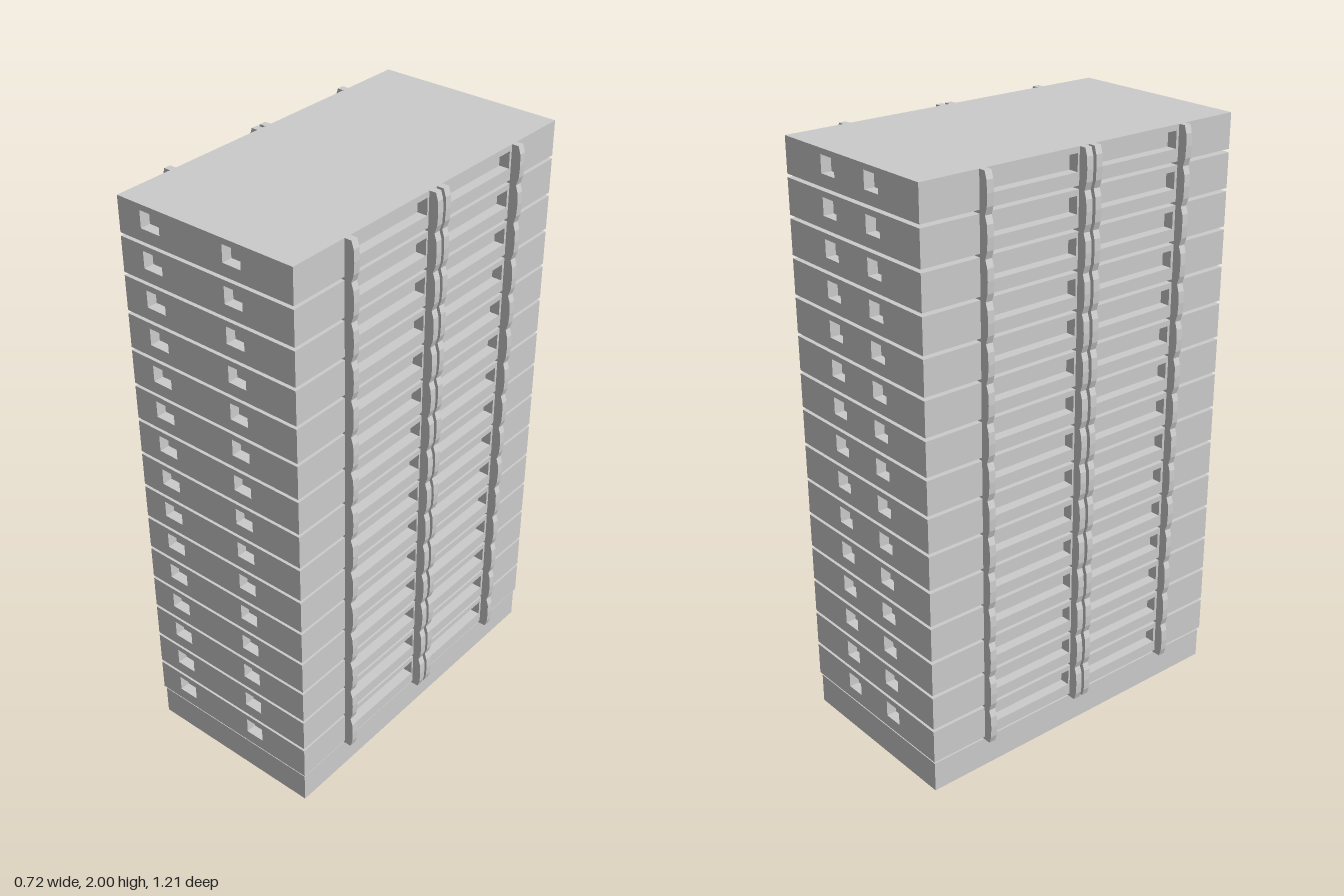
import * as THREE from 'three';

const FLOORS = 15;
const BASE_H = 0.105;                  // height of the plinth
const PITCH = (2 - BASE_H) / FLOORS;   // storey to storey
const GAP = 0.011;                     // open slit under every storey
const W = 0.65, D = 1.21;              // tower footprint
const RECESS = 0.035;                  // window depth
const WIN_Y = [PITCH - 0.075, PITCH - 0.019];

const material = new THREE.MeshStandardMaterial({ color: 0xcccccc, flatShading: true });

function addMesh(parent, name, geometry) {
  const mesh = new THREE.Mesh(geometry, material);
  mesh.name = name;
  parent.add(mesh);
  return mesh;
}

function rect(Type, x0, x1, y0, y1) {
  const p = new Type();
  p.moveTo(x0, y0);
  p.lineTo(x1, y0);
  p.lineTo(x1, y1);
  p.lineTo(x0, y1);
  p.closePath();
  return p;
}

// Wall slab with window openings; its outer face ends at z = 0
function wallPanel(width, windows) {
  const shape = rect(THREE.Shape, -width / 2, width / 2, GAP, PITCH);
  for (const [a, b] of windows) shape.holes.push(rect(THREE.Path, a, b, ...WIN_Y));
  return new THREE.ExtrudeGeometry(shape, { depth: RECESS, bevelEnabled: false })
    .translate(0, 0, -RECESS);
}

// Thin frame across the tower with slightly bulging ends
function frameGeometry() {
  const half = [[0.348, 0], [0.356, 0.025], [0.358, PITCH / 2], [0.356, PITCH - 0.025], [0.348, PITCH]];
  const outline = [...half, ...half.map(([x, y]) => [-x, y]).reverse()];
  const shape = new THREE.Shape(outline.map(([x, y]) => new THREE.Vector2(x, y)));
  return new THREE.ExtrudeGeometry(shape, { depth: 0.024, bevelEnabled: false })
    .translate(0, 0, -0.012);
}

export function createModel() {
  const model = new THREE.Group();
  model.name = 'tower';

  // Plinth: hollow underneath, closed on top
  const base = new THREE.Group();
  base.name = 'base';
  model.add(base);
  const bw = 0.64, bd = 1.2, wall = 0.05, hollow = 0.05;
  const ring = rect(THREE.Shape, -bw / 2, bw / 2, -bd / 2, bd / 2);
  ring.holes.push(rect(THREE.Path, -bw / 2 + wall, bw / 2 - wall, -bd / 2 + wall, bd / 2 - wall));
  addMesh(base, 'baseRim', new THREE.ExtrudeGeometry(ring, { depth: hollow, bevelEnabled: false })
    .rotateX(-Math.PI / 2));
  addMesh(base, 'baseSlab', new THREE.BoxGeometry(bw, BASE_H - hollow, bd)
    .translate(0, (BASE_H + hollow) / 2, 0));

  // Shared storey parts
  const core = new THREE.BoxGeometry(W - 2 * RECESS, PITCH - GAP, D - 2 * RECESS)
    .translate(0, (PITCH + GAP) / 2, 0);
  const front = wallPanel(W, [[-0.238, -0.165], [0.073, 0.14]]).translate(0, 0, D / 2);
  const back = wallPanel(W, [[-0.14, -0.073], [0.073, 0.14]])
    .rotateY(Math.PI).translate(0, 0, -D / 2);
  const side = wallPanel(D - 2 * RECESS, [[-0.365, -0.037], [0.037, 0.365]])
    .rotateY(Math.PI / 2).translate(W / 2, 0, 0);
  const otherSide = side.clone().rotateY(Math.PI);
  const frame = frameGeometry();

  // Stack of identical storeys
  for (let i = 0; i < FLOORS; i++) {
    const floor = new THREE.Group();
    floor.name = `floor${i + 1}`;
    floor.position.y = BASE_H + i * PITCH;
    addMesh(floor, 'core', core);
    addMesh(floor, 'frontWall', front);
    addMesh(floor, 'backWall', back);
    addMesh(floor, 'leftWall', side);
    addMesh(floor, 'rightWall', otherSide);
    for (const z of [-0.387, -0.018, 0.018, 0.387]) {
      addMesh(floor, 'crossFrame', frame).position.z = z;
    }
    model.add(floor);
  }
  return model;
}
